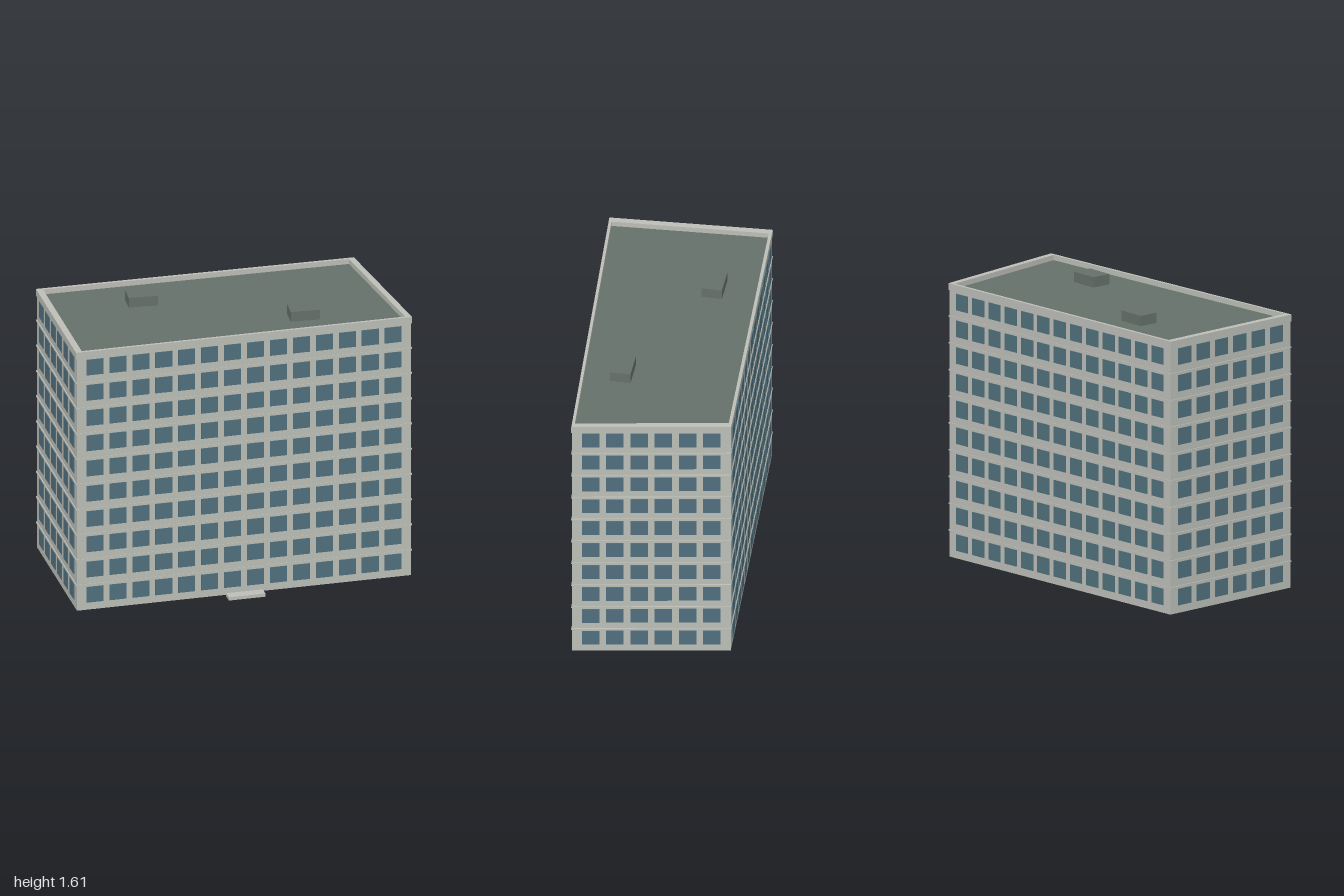
import * as THREE from 'three';
import { mergeGeometries } from 'three/addons/utils/BufferGeometryUtils.js';

const STOREYS = 10, STOREY_H = 0.1545, BODY_H = 1.55, TOP = 1.58;
// Plan corners [x, z]: front left, front right, back right, back left as seen from the front
const PLAN = [[-0.948, 0.498], [0.998, 0.36], [0.835, -0.522], [-1, -0.424]];
const COUNTS = [14, 6, 13, 6]; // windows along front, right, back and left walls

const scaled = (s) => PLAN.map(([x, z]) => [x * s, z * s]);
const toPoints = (pts) => pts.map(([x, z]) => new THREE.Vector2(x, -z));

// Prism over the plan, with an optional inner opening
function prism(outer, y, height, inner) {
  const shape = new THREE.Shape(toPoints(scaled(outer)));
  if (inner) shape.holes.push(new THREE.Path(toPoints(scaled(inner)).reverse()));
  const g = new THREE.ExtrudeGeometry(shape, { depth: height, bevelEnabled: false });
  return g.rotateX(-Math.PI / 2).translate(0, y, 0);
}

export function createModel() {
  const group = new THREE.Group();
  const material = (name, color) => {
    const m = new THREE.MeshStandardMaterial({ color });
    m.name = name;
    return m;
  };
  const concrete = material('concrete', 0xbcbeb7);
  const roofGrey = material('roof grey', 0x66706a);
  const glass = material('window glass', 0x50707d);

  const add = (name, geometry, mat) => {
    const mesh = new THREE.Mesh(geometry, mat);
    mesh.name = name;
    group.add(mesh);
    return mesh;
  };

  // Main body, roof deck and parapet
  const WALL = 0.994;
  add('walls', prism(WALL, 0, BODY_H - 0.006, null), concrete);
  add('roofDeck', prism(0.965, BODY_H - 0.006, 0.006, null), roofGrey);
  add('parapet', prism(1, 1.54, TOP - 1.54, 0.962), concrete);

  // Thin floor bands between storeys
  for (let i = 1; i < STOREYS; i++) {
    add('floorBand', prism(1, i * STOREY_H - 0.005, 0.008, 0.98), concrete);
  }

  // Window grid on each wall
  const corners = scaled(WALL);
  const names = ['frontWindows', 'rightWindows', 'backWindows', 'leftWindows'];
  corners.forEach(([ax, az], side) => {
    const [bx, bz] = corners[(side + 1) % 4];
    const length = Math.hypot(bx - ax, bz - az);
    const pitch = (length - 0.075) / COUNTS[side];
    const panes = [];
    for (let row = 0; row < STOREYS; row++) {
      for (let col = 0; col < COUNTS[side]; col++) {
        const pane = new THREE.BoxGeometry(0.098, 0.095, 0.008);
        pane.translate((col - (COUNTS[side] - 1) / 2) * pitch, 0.092 + row * STOREY_H, 0);
        panes.push(pane);
      }
    }
    const windows = add(names[side], mergeGeometries(panes), glass);
    windows.position.set((ax + bx) / 2, 0, (az + bz) / 2);
    windows.rotation.y = Math.atan2(az - bz, bx - ax);
  });

  // Rooftop service boxes
  for (const [x, z] of [[-0.441, -0.193], [0.414, 0.172]]) {
    const box = add('roofBox', new THREE.BoxGeometry(0.168, 0.06, 0.117), roofGrey);
    box.position.set(x, 1.58, z);
  }

  // Entrance slab, parallel to the front wall
  const slab = add('entranceSlab', new THREE.BoxGeometry(0.212, 0.02, 0.06), concrete);
  slab.position.set(0.025, 0.01, 0.479);
  slab.rotation.y = 0.071;

  return group;
}
